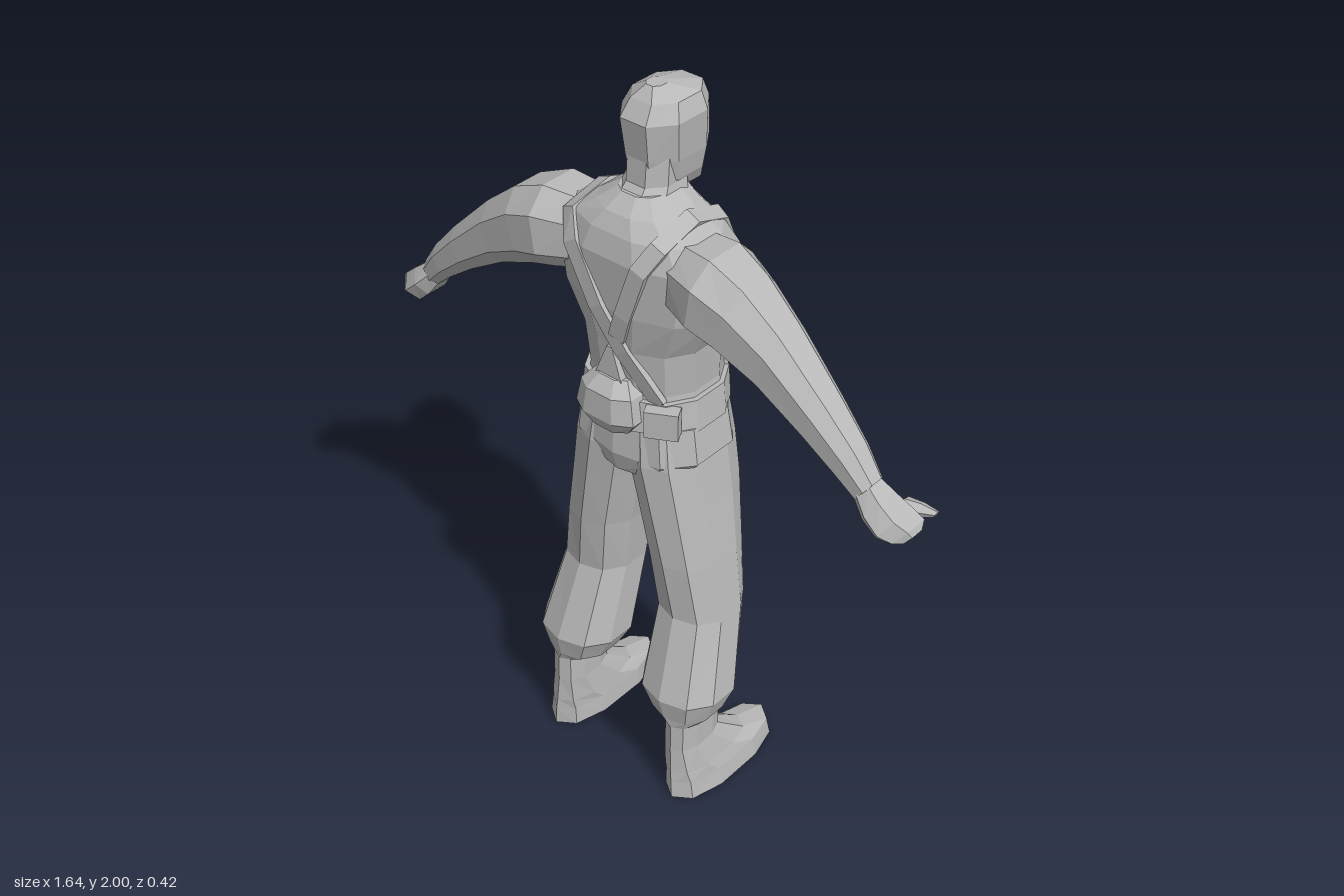
import * as THREE from 'three';

const grey = new THREE.MeshStandardMaterial({ color: 0xb8b8b8, flatShading: true });
grey.name = 'plain grey';
const V = (x, y, z) => new THREE.Vector3(x, y, z);

// Skin a list of equal-length rings and close both ends
function loft(rings, mirror = false) {
  const n = rings[0].length, pos = [], idx = [];
  const add = (p) => pos.push(mirror ? -p.x : p.x, p.y, p.z);
  const tri = (a, b, c) => (mirror ? idx.push(a, c, b) : idx.push(a, b, c));
  rings.forEach((r) => r.forEach(add));
  for (let i = 0; i < rings.length - 1; i++) {
    for (let j = 0; j < n; j++) {
      const a = i * n + j, b = i * n + ((j + 1) % n);
      tri(a, a + n, b);
      tri(b, a + n, b + n);
    }
  }
  [0, rings.length - 1].forEach((r, end) => {
    const c = pos.length / 3;
    add(rings[r].reduce((s, p) => s.add(p), V(0, 0, 0)).divideScalar(n));
    for (let j = 0; j < n; j++) {
      const a = r * n + j, b = r * n + ((j + 1) % n);
      if (end) tri(a, c, b); else tri(a, b, c);
    }
  });
  const g = new THREE.BufferGeometry();
  g.setAttribute('position', new THREE.Float32BufferAttribute(pos, 3));
  g.setIndex(idx);
  const flat = g.toNonIndexed();
  flat.computeVertexNormals();
  return flat;
}

// Rounded polygon filling a -1..1 square; power below 1 makes it boxier
const round = (n, power, place) => Array.from({ length: n }, (_, i) => {
  const a = ((i + 0.5) / n) * Math.PI * 2;
  const f = (v) => Math.sign(v) * (Math.abs(v) / Math.cos(Math.PI / n)) ** power;
  return place(f(Math.cos(a)), f(Math.sin(a)));
});

// Level ring between two x and two z limits
const level = (n, power, y, x0, x1, z0, z1) => round(n, power, (u, v) =>
  V((x0 + x1) / 2 + (u * (x1 - x0)) / 2, y, (z0 + z1) / 2 + (v * (z1 - z0)) / 2));

// Rings across an outstretched limb: top x and y, bottom x and y, z limits
const limb = (rows, n = 8) => rows.map(([xt, yt, xb, yb, z0, z1]) => round(n, 0.85, (u, v) =>
  V((xt + xb + u * (xb - xt)) / 2, (yt + yb + u * (yb - yt)) / 2, (z0 + z1 + v * (z1 - z0)) / 2)));

// Torso levels: y, half width, front z, back z
const TORSO = [
  [1.12, 0.175, -0.14, 0.155], [1.25, 0.157, -0.142, 0.145], [1.37, 0.165, -0.142, 0.157],
  [1.48, 0.222, -0.138, 0.172], [1.62, 0.235, -0.115, 0.178], [1.68, 0.19, -0.09, 0.163],
  [1.72, 0.115, -0.07, 0.14], [1.755, 0.064, -0.055, 0.1],
];

// Point on the torso's front (-1) or back (1)
function onTorso(x, y, side) {
  let i = 0;
  while (i < TORSO.length - 2 && TORSO[i + 1][0] < y) i++;
  const a = TORSO[i], b = TORSO[i + 1], t = (y - a[0]) / (b[0] - a[0]);
  const [w, f, k] = [1, 2, 3].map((c) => a[c] + (b[c] - a[c]) * t);
  const arc = Math.max(0, 1 - Math.abs(x / w) ** 2.35) ** 0.425;
  return V(x, y, (f + k) / 2 + side * arc * (k - f) / 2);
}

// Flat band following a path over the torso
function strap(points, width = 0.044) {
  const mid = V(0, 1.42, 0.02);
  return loft(points.map((p, i) => {
    const t = points[Math.min(i + 1, points.length - 1)].clone().sub(points[Math.max(i - 1, 0)]).normalize();
    const out = p.clone().sub(mid);
    out.addScaledVector(t, -out.dot(t)).normalize();
    const side = t.clone().cross(out).normalize();
    return [[-1, -1], [1, -1], [1, 1], [-1, 1]].map(([s, o]) =>
      p.clone().addScaledVector(side, (s * width) / 2).addScaledVector(out, 0.006 + o * 0.008));
  }));
}

export function createModel() {
  const model = new THREE.Group();
  model.name = 'figure';
  const part = (name, geometry) => {
    const m = new THREE.Mesh(geometry, grey);
    m.name = name;
    model.add(m);
    return m;
  };
  // Symmetric part from levels: y, half width, front z, back z
  const stack = (name, n, power, rows) =>
    part(name, loft(rows.map(([y, w, f, b]) => level(n, power, y, -w, w, f, b))));

  // Torso, seat, neck and head
  stack('torso', 12, 0.85, TORSO);
  stack('trouserSeat', 10, 0.75, [
    [0.945, 0.04, -0.06, 0.08], [1.0, 0.14, -0.136, 0.148], [1.06, 0.193, -0.15, 0.165], [1.16, 0.178, -0.14, 0.157],
  ]);
  stack('neck', 8, 0.9, [[1.7, 0.08, -0.075, 0.14], [1.77, 0.063, -0.07, 0.078], [1.84, 0.064, -0.07, 0.073]]);
  stack('head', 8, 0.9, [
    [1.735, 0.045, -0.122, -0.04], [1.775, 0.065, -0.134, 0.06], [1.83, 0.075, -0.141, 0.073],
    [1.93, 0.085, -0.132, 0.086], [1.972, 0.068, -0.118, 0.058], [2.0, 0.022, -0.02, 0.03],
  ]);

  // Belt with buckle, side pouch and back pouch
  stack('belt', 12, 0.85, [[1.15, 0.182, -0.15, 0.165], [1.235, 0.172, -0.15, 0.158]]);
  const box = (name, w, h, d, x, y, z, turn = 0) => {
    const m = part(name, new THREE.BoxGeometry(w, h, d));
    m.position.set(x, y, z);
    m.rotation.y = turn;
  };
  box('buckle', 0.07, 0.075, 0.016, 0, 1.192, -0.148);
  box('sidePouch', 0.085, 0.075, 0.04, 0.132, 1.195, 0.135, 0.5);
  part('backPouch', loft([
    [1.14, -0.07, 0.05, 0.19], [1.18, -0.105, 0.08, 0.21],
    [1.25, -0.09, 0.07, 0.205], [1.285, -0.06, 0.04, 0.175],
  ].map(([y, x0, x1, b]) => level(8, 0.8, y, x0, x1, 0.1, b))));
  part('pouchFlap', loft([[1.27, 0.045, 0.17], [1.365, 0.008, 0.164]]
    .map(([y, w, b]) => level(4, 0.6, y, -0.01 - w, -0.01 + w, 0.13, b))));

  // Braces: down the chest, over the shoulders, meeting on the back
  for (const s of [-1, 1]) {
    const path = [[0.105, 1.23], [0.11, 1.37], [0.12, 1.48], [0.125, 1.62], [0.127, 1.675]]
      .map(([x, y]) => onTorso(s * x, y, -1));
    path.push(V(s * 0.13, 1.71, 0.035));
    const back = s < 0
      ? [[-0.15, 1.67], [-0.115, 1.62], [-0.035, 1.48], [0.03, 1.37], [0.11, 1.235]]
      : [[0.125, 1.675], [0.095, 1.62], [0.045, 1.48], [0.02, 1.41]];
    path.push(...back.map(([x, y]) => onTorso(x, y, 1)));
    part(s < 0 ? 'rightBrace' : 'leftBrace', strap(path));
  }

  // Limbs, mirrored left and right
  for (const mirror of [false, true]) {
    const side = mirror ? 'right' : 'left';
    part(side + 'Arm', loft(limb([
      [0.13, 1.68, 0.13, 1.5, -0.04, 0.14], [0.255, 1.69, 0.225, 1.48, -0.045, 0.178],
      [0.35, 1.652, 0.295, 1.46, -0.02, 0.17], [0.45, 1.573, 0.41, 1.412, 0.0, 0.155],
      [0.58, 1.447, 0.53, 1.34, 0.02, 0.142], [0.665, 1.355, 0.62, 1.275, 0.032, 0.13],
      [0.715, 1.285, 0.675, 1.228, 0.042, 0.118],
    ]), mirror));
    part(side + 'Hand', loft(limb([
      [0.705, 1.285, 0.672, 1.23, 0.045, 0.115], [0.745, 1.255, 0.703, 1.19, 0.03, 0.128],
      [0.785, 1.222, 0.742, 1.155, 0.012, 0.128], [0.813, 1.197, 0.768, 1.142, 0.005, 0.108],
      [0.82, 1.18, 0.795, 1.152, 0.03, 0.09],
    ], 6), mirror));
    part(side + 'Thumb', loft(limb([
      [0.76, 1.232, 0.745, 1.195, 0.01, 0.06], [0.79, 1.218, 0.78, 1.185, -0.01, 0.03],
      [0.822, 1.198, 0.818, 1.186, -0.022, -0.005],
    ], 5), mirror));

    // Trouser leg gathered above the ankle: y, inner x, outer x, front z, back z
    part(side + 'TrouserLeg', loft([
      [0.25, 0.155, 0.25, 0.01, 0.178], [0.28, 0.1, 0.275, -0.005, 0.185], [0.35, 0.063, 0.3, -0.035, 0.2],
      [0.58, 0.063, 0.264, -0.092, 0.125], [0.75, 0.043, 0.237, -0.112, 0.138],
      [0.93, 0.006, 0.207, -0.136, 0.148], [1.05, -0.02, 0.188, -0.14, 0.155], [1.15, -0.02, 0.17, -0.13, 0.145],
    ].map((r) => level(10, 0.9, ...r)), mirror));
    part(side + 'Boot', loft([
      [0, 0.142, 0.288, -0.2, 0.183], [0.055, 0.146, 0.278, -0.192, 0.182], [0.09, 0.15, 0.268, -0.09, 0.182],
      [0.17, 0.157, 0.25, 0.012, 0.18], [0.27, 0.157, 0.25, 0.012, 0.178],
    ].map((r) => level(10, 0.85, ...r)), mirror));
  }
  return model;
}
